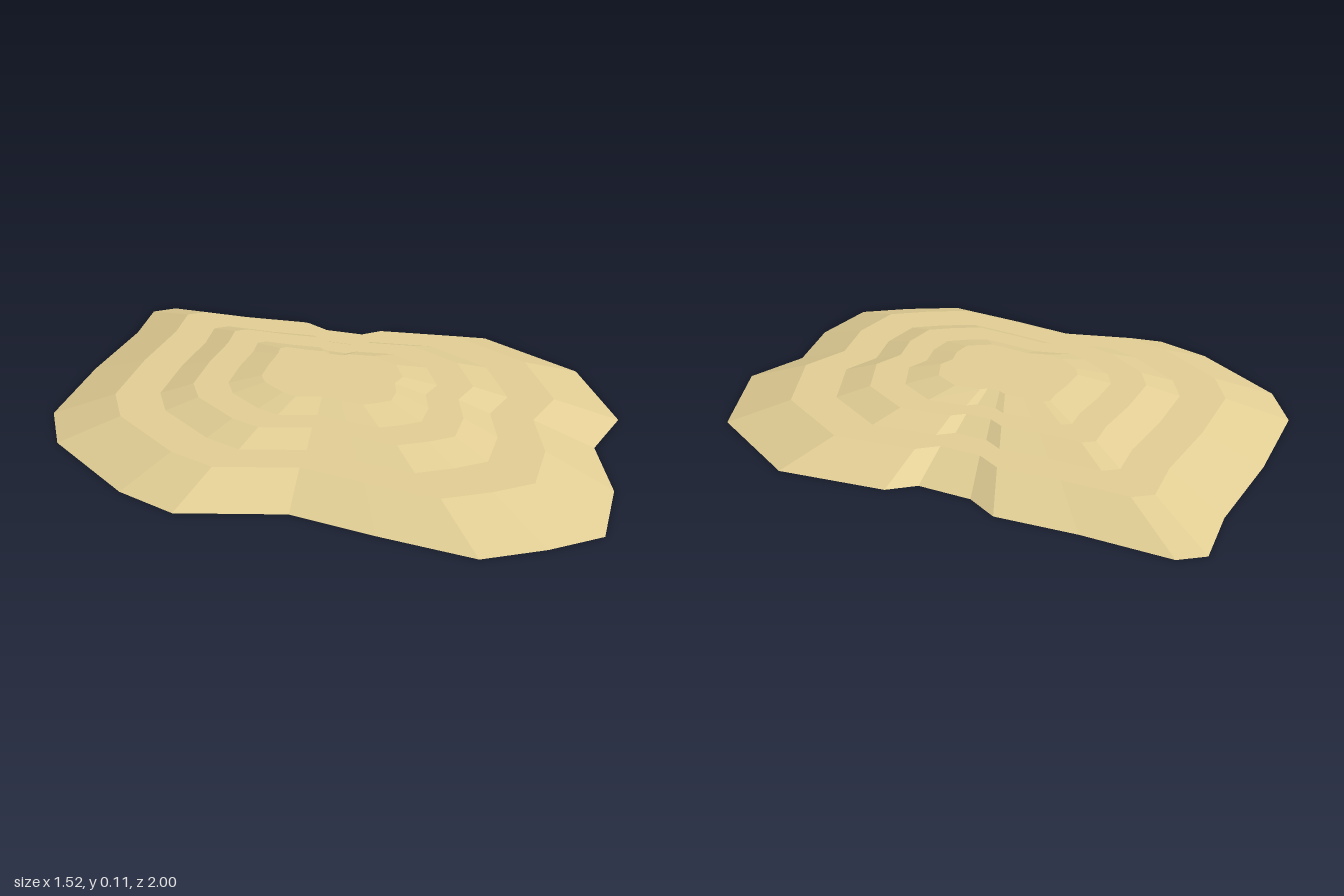
import * as THREE from 'three';

// Irregular ground outline as [x, z], clockwise seen from above
const outline = [
  [0.27, -1.0], [0.34, -0.96], [0.42, -0.72], [0.51, -0.51], [0.49, -0.4], [0.54, -0.25],
  [0.62, -0.21], [0.76, 0.07], [0.69, 0.45], [0.44, 0.72], [0.23, 0.75], [0.03, 0.91],
  [-0.2, 1.0], [-0.34, 0.92], [-0.48, 0.81], [-0.54, 0.55], [-0.585, 0.31], [-0.76, 0.07],
  [-0.76, -0.12], [-0.66, -0.47], [-0.53, -0.63], [-0.22, -0.78], [0.09, -0.9],
];

// Terrace rings as [scale of outline, height]
const rings = [[1, 0], [0.775, 0.058], [0.615, 0.058], [0.495, 0.087], [0.37, 0.087], [0.25, 0.109]];

function terracedMound() {
  const n = outline.length;
  const positions = [];
  const index = [];
  for (const [s, y] of rings) for (const [x, z] of outline) positions.push(x * s, y, z * s);

  // Slopes and ledges between neighbouring rings
  for (let r = 0; r < rings.length - 1; r++) {
    for (let i = 0; i < n; i++) {
      const j = (i + 1) % n;
      const a = r * n + i, b = r * n + j, c = a + n, d = b + n;
      index.push(a, c, b, b, c, d);
    }
  }

  // Flat summit
  const centre = positions.length / 3;
  const last = (rings.length - 1) * n;
  positions.push(0, rings[rings.length - 1][1], 0);
  for (let i = 0; i < n; i++) index.push(last + i, centre, last + ((i + 1) % n));

  const geometry = new THREE.BufferGeometry();
  geometry.setAttribute('position', new THREE.Float32BufferAttribute(positions, 3));
  geometry.setIndex(index);
  const flat = geometry.toNonIndexed();
  flat.computeVertexNormals();
  return flat;
}

export function createModel() {
  const group = new THREE.Group();
  group.name = 'sandMound';
  // Open underneath, so both sides show
  const sand = new THREE.MeshStandardMaterial({ color: 0xe3cf95, flatShading: true, side: THREE.DoubleSide });
  const mound = new THREE.Mesh(terracedMound(), sand);
  mound.name = 'terracedMound';
  group.add(mound);
  return group;
}
